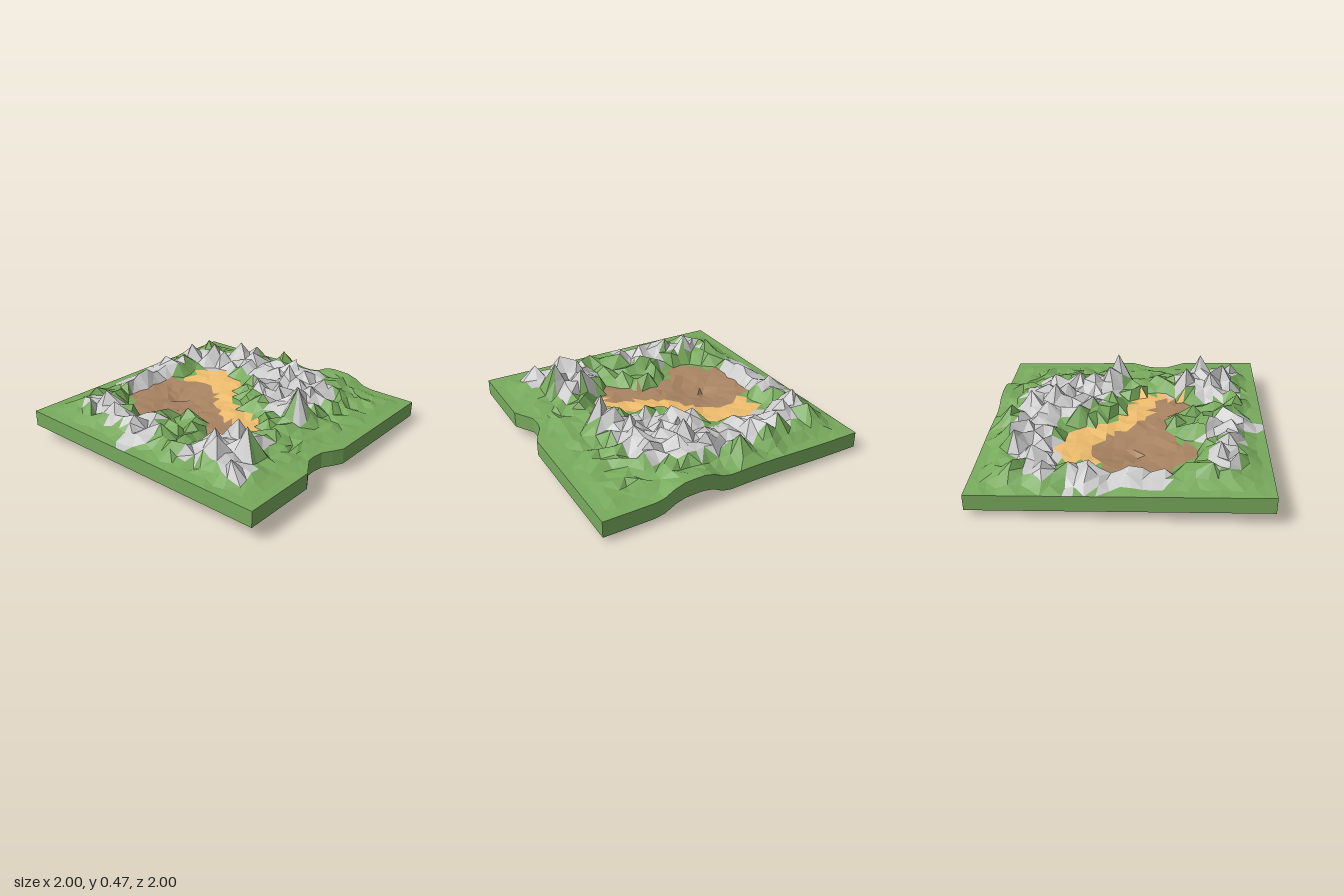
import * as THREE from 'three';

const N = 28;             // grid cells per side
const THICK = 0.115;      // thickness of the terrain slab

// Outlines of the coloured regions, as x, z pairs
const LAKE = [-.29,-.72, -.5,-.5, -.5,-.34, -.37,-.29, -.29,-.1, -.32,.06, -.48,.22, -.42,.3, -.2,.33,
  -.16,.06, 0,-.13, .14,-.24, .25,-.4, .16,-.61, .11,-.69];
const SAND = [.16,-.61, .48,-.61, .46,-.36, .36,-.16, .1,-.04, 0,.15, -.03,.3, -.12,.4, -.24,.41, -.42,.3,
  -.2,.2, -.1,-.1, .14,-.24];
const ROCKS = [
  [-.8,-.74, -.61,-.77, -.6,-.5, -.69,-.4, -.53,-.31, -.61,-.1, -.7,.04, -1,-.08, -.96,-.18, -.8,-.23, -.85,-.4, -.77,-.5],
  [-.32,-.87, -.18,-.94, .2,-.96, .38,-.99, .35,-.74, .27,-.69, -.32,-.74],
  [.41,-.9, .57,-.88, .73,-.66, .8,-.45, .81,.25, .68,.51, .33,.59, .03,.62, .09,.3, .35,-.07, .53,-.1, .43,-.6],
  [-.85,.33, -.72,.25, -.56,.22, -.48,.35, -.25,.33, -.4,.46, -.29,.65, -.56,.65, -.72,.81, -.87,.75, -.8,.51],
];
// Summits: x, z, height
const PEAKS = [
  [.1,.55,.47], [.17,.48,.39], [.28,.42,.37], [.4,.46,.35], [.55,.16,.39], [.48,.3,.33], [.62,.25,.34],
  [.73,.1,.36], [.6,.02,.31], [.6,.45,.33], [.84,-.1,.34], [.8,-.35,.33], [.75,-.48,.35], [.6,-.65,.34],
  [.5,-.82,.33], [.7,-.8,.31], [.68,-.3,.33], [.2,-.84,.31], [-.05,-.84,.26],
  [.26,.08,.33], [.13,.22,.31], [.35,-.04,.32],
  [-.55,.61,.45], [-.72,.5,.42], [-.62,.4,.4], [-.44,.45,.41], [-.8,.68,.35], [-.82,.2,.32],
  [-.66,-.6,.38], [-.72,-.45,.36], [-.75,-.22,.34], [-.85,-.1,.28], [-.6,-.78,.33], [-.6,-.15,.32],
];

function inside(poly, x, z) {
  let hit = false;
  for (let i = 0, j = poly.length - 2; i < poly.length; j = i, i += 2) {
    const [x1, z1, x2, z2] = [poly[i], poly[i + 1], poly[j], poly[j + 1]];
    if ((z1 > z) !== (z2 > z) && x < (x2 - x1) * (z - z1) / (z2 - z1) + x1) hit = !hit;
  }
  return hit;
}

function regionAt(x, z) {
  if (ROCKS.some(r => inside(r, x, z))) return 'rocks';
  if (inside(LAKE, x, z)) return 'lakeBed';
  if (inside(SAND, x, z)) return 'sandyShore';
  return 'grass';
}

// True on the basin floor and on the first grid points around it
function inBasin(x, z) {
  const s = .055;
  return [[0, 0], [s, 0], [-s, 0], [0, s], [0, -s]].some(([dx, dz]) =>
    inside(LAKE, x + dx, z + dz) || inside(SAND, x + dx, z + dz));
}

// Repeatable random number for a grid point
function rand(i, j, k) {
  const s = Math.sin(i * 127.1 + j * 311.7 + k * 74.7) * 43758.5453;
  return s - Math.floor(s);
}

function height(x, z, r) {
  // Rim falls from left to right, with a hump and a slight swell on the right edge
  const hump = .075 * Math.exp(-(((x - 1) / .18) ** 2 + ((z - .35) / .19) ** 4));
  const swell = .018 * Math.exp(-(((x - 1) / .3) ** 2 + ((z + .15) / .4) ** 2));
  const rim = .186 - .03 * x + hump + swell;
  if (inBasin(x, z)) {
    const bowl = Math.exp(-(((x + .04) / .26) ** 2 + ((z + .42) / .24) ** 2));
    return .185 - .045 * bowl + (r - .5) * .014;
  }
  // Rough ground fades to a flat rim and a calmer front strip
  const rocky = regionAt(x, z) === 'rocks';
  const edge = Math.min(1 - Math.abs(x), 1 - Math.abs(z));
  let rough = THREE.MathUtils.smoothstep(edge, .03, .25);
  if (z > .68) rough *= .5;
  let h = rim + rough * (rocky ? .03 + .09 * r : .01 + .08 * r);
  for (const [px, pz, py] of PEAKS) {
    const d = Math.hypot(x - px, z - pz);
    h = Math.max(h, py - .015 - (py - .2) * d / .14);
  }
  return h;
}

function makeGrid() {
  const grid = [];
  for (let j = 0; j <= N; j++) {
    const row = [];
    for (let i = 0; i <= N; i++) {
      const rimPoint = i === 0 || j === 0 || i === N || j === N;
      const jitter = rimPoint ? 0 : .032;
      const x = -1 + 2 * i / N + (rand(i, j, 1) - .5) * jitter;
      let z = -1 + 2 * j / N + (rand(i, j, 2) - .5) * jitter;
      const y = height(x, z, rand(i, j, 3));
      // Notch in the front edge
      const notch = Math.max(0, 1 - Math.max(0, Math.abs(x + .22) - .06) / .15);
      z -= .09 * notch * THREE.MathUtils.smoothstep(z, .7, 1);
      row.push(new THREE.Vector3(x, y, z));
    }
    grid.push(row);
  }
  // Snap the closest grid point to each summit and to the deepest spot of the lake
  for (const [x, z, y] of [...PEAKS, [-.1, -.43, THICK]]) {
    const i = Math.round((x + 1) * N / 2), j = Math.round((z + 1) * N / 2);
    grid[j][i].set(x, y, z);
  }
  return grid;
}

export function createModel() {
  const group = new THREE.Group();
  const grid = makeGrid();
  const parts = { grass: [], rocks: [], lakeBed: [], sandyShore: [], underside: [], sideWalls: [] };
  const colors = { grass: 0x78aa5d, rocks: 0xcccccc, lakeBed: 0xa98462, sandyShore: 0xf0be6e,
    underside: 0x78aa5d, sideWalls: 0x78aa5d };
  const drop = p => new THREE.Vector3(p.x, p.y - THICK, p.z);
  const add = (part, ...points) => points.forEach(p => parts[part].push(p.x, p.y, p.z));

  // Upper surface sorted by region, with a parallel underside
  for (let j = 0; j < N; j++) for (let i = 0; i < N; i++) {
    const a = grid[j][i], b = grid[j][i + 1], c = grid[j + 1][i + 1], d = grid[j + 1][i];
    const tris = rand(i, j, 4) < .5 ? [[a, d, c], [a, c, b]] : [[a, d, b], [b, d, c]];
    for (const [p, q, r] of tris) {
      add(regionAt((p.x + q.x + r.x) / 3, (p.z + q.z + r.z) / 3), p, q, r);
      add('underside', drop(p), drop(r), drop(q));
    }
  }

  // Walls around the four edges
  const wall = (p, q) => add('sideWalls', p, drop(p), drop(q), p, drop(q), q);
  for (let k = 0; k < N; k++) {
    wall(grid[N][k], grid[N][k + 1]);
    wall(grid[0][k + 1], grid[0][k]);
    wall(grid[k + 1][N], grid[k][N]);
    wall(grid[k][0], grid[k + 1][0]);
  }

  for (const name in parts) {
    const geometry = new THREE.BufferGeometry();
    geometry.setAttribute('position', new THREE.Float32BufferAttribute(parts[name], 3));
    geometry.computeVertexNormals();
    const mesh = new THREE.Mesh(geometry, new THREE.MeshStandardMaterial({ color: colors[name], flatShading: true }));
    mesh.name = name;
    group.add(mesh);
  }
  return group;
}
